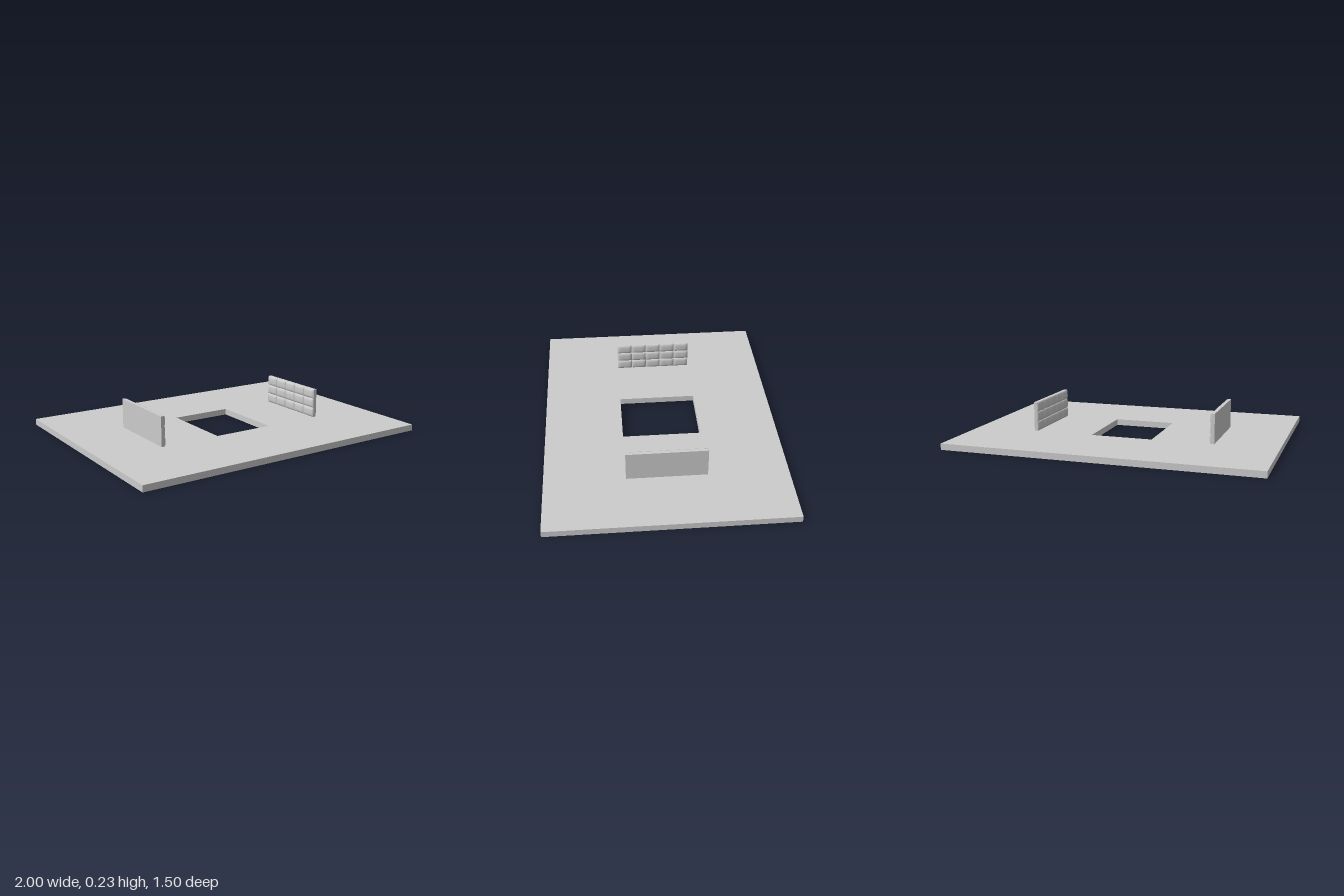
import * as THREE from 'three';

const material = new THREE.MeshStandardMaterial({ color: 0xcccccc });

const BASE_H = 0.04;
const WALL = { rows: 3, cols: 5, height: 0.19, length: 0.5, outer: 0.6, flat: 0.022, bulge: 0.011 };

// Flat slab with a rectangular opening through the middle
function makeBase() {
  const rect = (Type, w, d) => new Type([
    new THREE.Vector2(-w, -d), new THREE.Vector2(w, -d),
    new THREE.Vector2(w, d), new THREE.Vector2(-w, d),
  ]);
  const shape = rect(THREE.Shape, 1, 0.75);
  shape.holes.push(rect(THREE.Path, 0.2, 0.25));
  const geo = new THREE.ExtrudeGeometry(shape, { depth: BASE_H, bevelEnabled: false });
  geo.rotateX(-Math.PI / 2);
  const mesh = new THREE.Mesh(geo, material);
  mesh.name = 'basePlate';
  return mesh;
}

// Block with a flat back at z = 0 and a cushioned front face
function makeBlockGeometry(w, h) {
  const geo = new THREE.BoxGeometry(w, h, WALL.flat, 10, 10, 1);
  geo.translate(0, 0, WALL.flat / 2);
  const p = geo.attributes.position;
  const radius = 0.02;
  const round = (t, size) => {
    const d = Math.min(1, (size / 2 - Math.abs(t)) / radius);
    return Math.sqrt(Math.max(0, 1 - (1 - d) ** 2));
  };
  // Gather the grid lines toward the edges, then raise the front
  const gather = (t, size) => Math.sin((t / size) * Math.PI) * size / 2;
  for (let i = 0; i < p.count; i++) {
    const x = gather(p.getX(i), w);
    const y = gather(p.getY(i), h);
    let z = p.getZ(i);
    if (z > WALL.flat / 2) z += WALL.bulge * round(x, w) * round(y, h);
    p.setXYZ(i, x, y, z);
  }
  geo.computeVertexNormals();
  return geo;
}

// Upright wall of cushioned blocks, facing inward
function makeWall(side, name) {
  const wall = new THREE.Group();
  wall.name = name;
  const w = WALL.length / WALL.cols;
  const h = WALL.height / WALL.rows;
  const geo = makeBlockGeometry(w, h);
  for (let r = 0; r < WALL.rows; r++) {
    for (let c = 0; c < WALL.cols; c++) {
      const block = new THREE.Mesh(geo, material);
      block.name = `wallBlock_${r + 1}_${c + 1}`;
      block.position.set((c + 0.5) * w - WALL.length / 2, (r + 0.5) * h, 0);
      wall.add(block);
    }
  }
  wall.rotation.y = -side * Math.PI / 2;
  wall.position.set(side * WALL.outer, BASE_H, 0);
  return wall;
}

export function createModel() {
  const model = new THREE.Group();
  model.name = 'slabWithBlockWalls';
  model.add(makeBase(), makeWall(1, 'leftWall'), makeWall(-1, 'rightWall'));
  return model;
}
